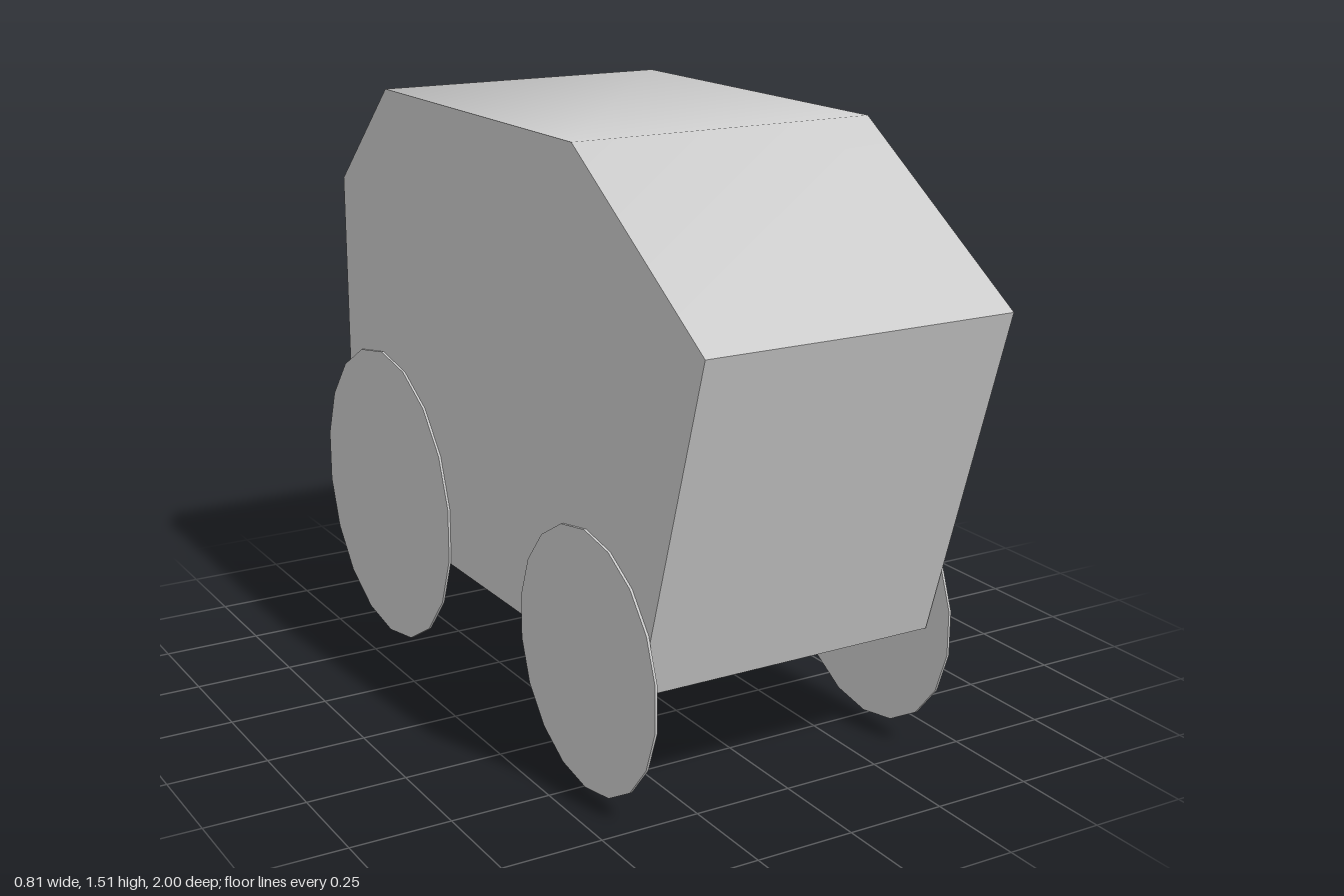
import * as THREE from 'three';
import { toCreasedNormals } from 'three/addons/utils/BufferGeometryUtils.js';

export function createModel() {
  const group = new THREE.Group();
  const material = new THREE.MeshStandardMaterial({ color: 0xcccccc });

  function add(name, geometry, x, y, z) {
    const mesh = new THREE.Mesh(geometry, material);
    mesh.name = name;
    mesh.position.set(x, y, z);
    group.add(mesh);
  }

  // Body: side profile (z, y) extruded across the width, smooth over the roof
  const profile = [
    [0.745, 0.32], [1, 1.15], [0.45, 1.51], [-0.54, 1.51], [-0.84, 1.235], [-0.84, 0.32],
  ].map(([z, y]) => new THREE.Vector2(z, y));
  const width = 0.794;
  const extruded = new THREE.ExtrudeGeometry(new THREE.Shape(profile), { depth: width, bevelEnabled: false });
  extruded.translate(0, 0, -width / 2).rotateY(-Math.PI / 2);
  add('body', toCreasedNormals(extruded, THREE.MathUtils.degToRad(44)), -0.004, 0, 0);

  // Wheels: thin 18-sided discs, the left pair set slightly higher
  function addWheel(name, radius, x, y, z) {
    const disc = new THREE.CylinderGeometry(radius, radius, 0.006, 18, 1, false, Math.PI / 2);
    add(name, disc.rotateZ(Math.PI / 2), x, y, z);
  }
  addWheel('frontLeftWheel', 0.32, 0.401, 0.332, 0.507);
  addWheel('frontRightWheel', 0.32, -0.404, 0.32, 0.507);
  addWheel('rearLeftWheel', 0.4, 0.398, 0.412, -0.606);
  addWheel('rearRightWheel', 0.4, -0.405, 0.4, -0.606);

  return group;
}
